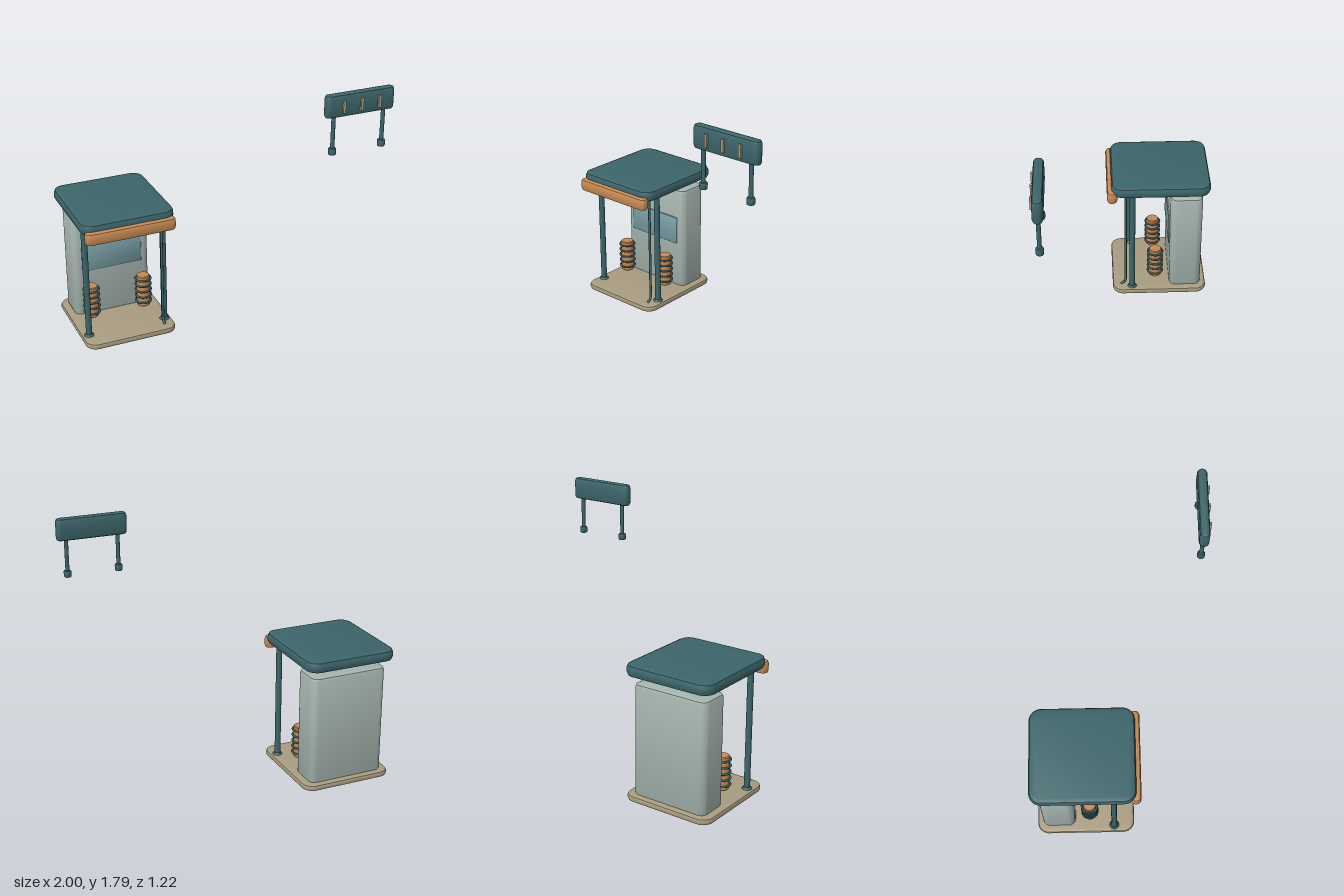
import * as THREE from 'three';
import { toCreasedNormals } from 'three/addons/utils/BufferGeometryUtils.js';

const material = (name, color) => {
  const m = new THREE.MeshStandardMaterial({ color });
  m.name = name;
  return m;
};

export function createModel() {
  const teal = material('dark teal', 0x3c656a);
  const orange = material('copper orange', 0xc68a54);
  const sand = material('sand', 0xa89c80);
  const grey = material('pale grey green', 0xa5b4ae);
  const glass = material('dusty blue', 0x789fa5);

  const model = new THREE.Group();
  model.name = 'kioskAndSign';

  function add(parent, name, geometry, mat, x = 0, y = 0, z = 0) {
    const mesh = new THREE.Mesh(geometry, mat);
    mesh.name = name;
    mesh.position.set(x, y, z);
    parent.add(mesh);
    return mesh;
  }

  function group(name, parent = model) {
    const g = new THREE.Group();
    g.name = name;
    parent.add(g);
    return g;
  }

  // Slab between two corners: rounded in plan, bevelled along top and bottom
  function slab(parent, name, mat, [x0, y0, z0], [x1, y1, z1], radius, bevel) {
    const w = (x1 - x0) / 2 - bevel, d = (z1 - z0) / 2 - bevel, h = y1 - y0;
    const r = Math.max(0.004, radius - bevel);
    const s = new THREE.Shape();
    s.moveTo(-w + r, -d);
    s.lineTo(w - r, -d);
    s.absarc(w - r, -d + r, r, -Math.PI / 2, 0);
    s.lineTo(w, d - r);
    s.absarc(w - r, d - r, r, 0, Math.PI / 2);
    s.lineTo(-w + r, d);
    s.absarc(-w + r, d - r, r, Math.PI / 2, Math.PI);
    s.lineTo(-w, -d + r);
    s.absarc(-w + r, -d + r, r, Math.PI, Math.PI * 1.5);
    const geo = new THREE.ExtrudeGeometry(s, {
      depth: h - 2 * bevel, bevelEnabled: true, bevelSize: bevel,
      bevelThickness: bevel, bevelSegments: 2, curveSegments: 5,
    });
    geo.translate(0, 0, bevel - h / 2);
    geo.rotateX(-Math.PI / 2);
    return add(parent, name, toCreasedNormals(geo, 0.6), mat,
      (x0 + x1) / 2, (y0 + y1) / 2, (z0 + z1) / 2);
  }

  const rod = (parent, name, mat, r, y0, y1, x, z) =>
    add(parent, name, new THREE.CylinderGeometry(r, r, y1 - y0, 16), mat, x, (y0 + y1) / 2, z);

  // Floor, roof and front fascia
  const kiosk = group('kiosk');
  slab(kiosk, 'floor', sand, [-1, 0, -0.6], [-0.34, 0.045, 0.1], 0.08, 0.018);
  slab(kiosk, 'roof', teal, [-1, 0.873, -0.61], [-0.34, 0.955, 0.105], 0.085, 0.028);
  slab(kiosk, 'fascia', orange, [-0.988, 0.82, 0.063], [-0.352, 0.91, 0.138], 0.036, 0.022);
  add(kiosk, 'ceilingPanel', new THREE.BoxGeometry(0.56, 0.01, 0.6), teal, -0.67, 0.871, -0.25);

  // Cabinet with its front panel
  slab(kiosk, 'cabinet', grey, [-0.95, 0.03, -0.56], [-0.39, 0.82, -0.325], 0.05, 0.025);
  slab(kiosk, 'cabinetPanel', glass, [-0.89, 0.39, -0.335], [-0.45, 0.6, -0.315], 0.008, 0.004);

  // Posts with foot collars, ringed coils and ceiling lamps on both sides
  for (const side of [-1, 1]) {
    const x = -0.67 + side * 0.28;
    rod(kiosk, 'post', teal, 0.021, 0.04, 0.88, x, -0.045);
    add(kiosk, 'postFoot', new THREE.CylinderGeometry(0.025, 0.035, 0.015, 16), teal, x, 0.052, -0.045);

    const coil = group('coil', kiosk);
    coil.position.set(-0.672 + side * 0.193, 0.09, -0.22);
    const profile = [[0, 0], [0.043, 0], [0.047, 0.005], [0.047, 0.232], [0.042, 0.238], [0, 0.238]];
    const core = new THREE.LatheGeometry(profile.map(([r, y]) => new THREE.Vector2(r, y)), 24);
    add(coil, 'coilCore', toCreasedNormals(core, 0.5), orange);
    for (let i = 0; i < 5; i++) {
      const ring = add(coil, 'coilRing', new THREE.TorusGeometry(0.055, 0.007, 8, 28), teal, 0, 0.034 + i * 0.044, 0);
      ring.rotation.x = Math.PI / 2;
    }
    rod(kiosk, 'ceilingLamp', orange, 0.031, 0.862, 0.872, -0.67 + side * 0.19, -0.097);
  }

  // Drain pipe that kicks forward at the floor
  const pipePath = new THREE.CurvePath();
  const points = [[0.88, 0], [0.085, 0], [0.065, 0.008], [0.046, 0.036]]
    .map(([y, z]) => new THREE.Vector3(-0.418, y, z + 0.004));
  for (let i = 0; i < points.length - 1; i++) pipePath.add(new THREE.LineCurve3(points[i], points[i + 1]));
  add(kiosk, 'drainPipe', new THREE.TubeGeometry(pipePath, 80, 0.009, 10), teal);

  // Sign board with slats, legs and feet
  const sign = group('sign');
  slab(sign, 'signBoard', teal, [0.497, 1.638, 0.53], [0.997, 1.795, 0.597], 0.032, 0.022);
  for (const x of [0.615, 0.745, 0.875]) {
    add(sign, 'signSlat', new THREE.BoxGeometry(0.019, 0.086, 0.02), sand, x, 1.714, 0.601);
  }
  for (const x of [0.563, 0.93]) {
    rod(sign, 'signLeg', teal, 0.014, 1.41, 1.65, x, 0.563);
    slab(sign, 'signFoot', teal, [x - 0.026, 1.378, 0.537], [x + 0.026, 1.428, 0.589], 0.025, 0.01);
  }

  return model;
}
